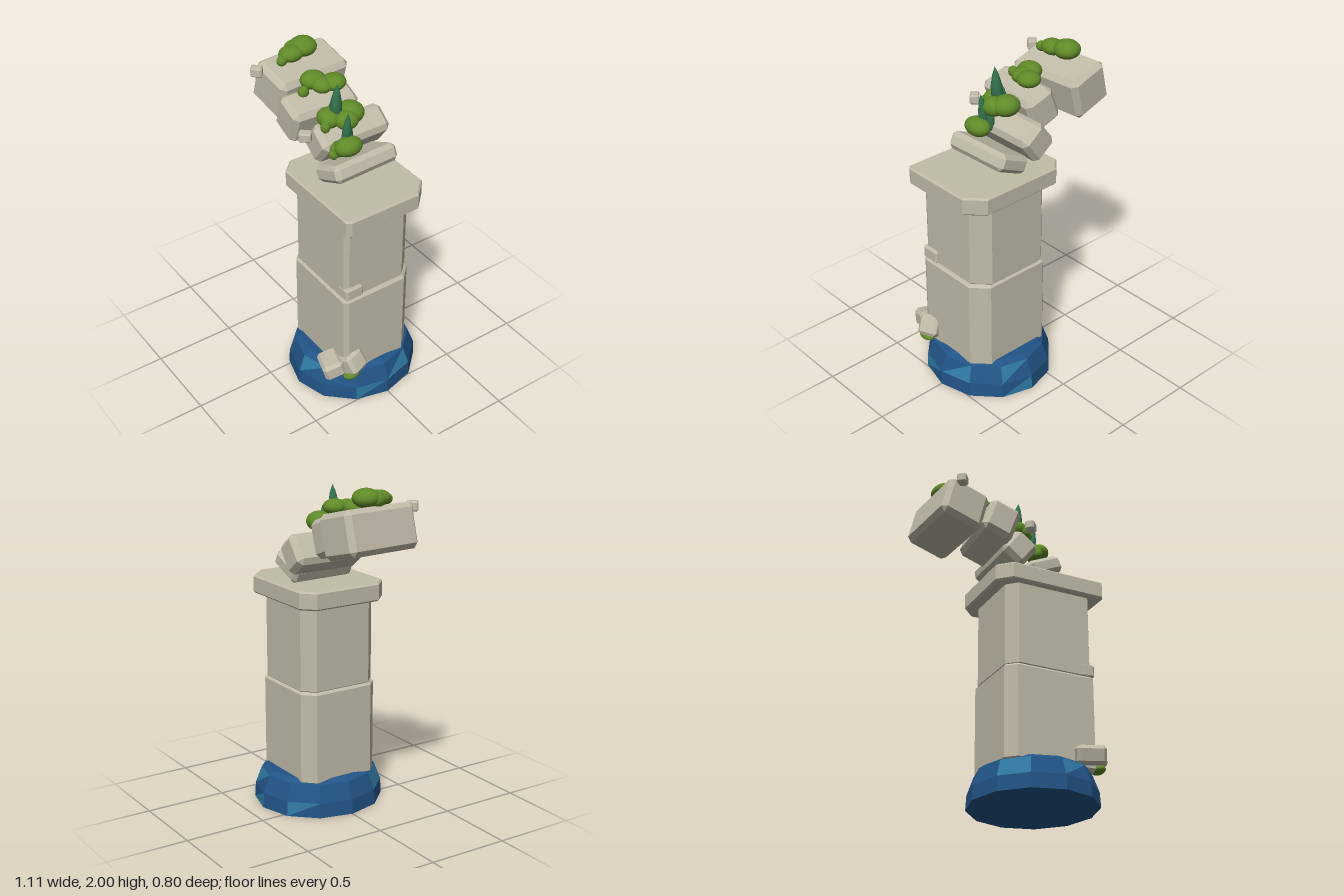
import * as THREE from 'three';
import { ConvexGeometry } from 'three/addons/geometries/ConvexGeometry.js';

const mat = (name, color, flatShading = false) => {
  const m = new THREE.MeshStandardMaterial({ color, flatShading });
  m.name = name;
  return m;
};

export function createModel() {
  const root = new THREE.Group();
  root.name = 'ruinedPillar';
  const stone = mat('stone', 0xc1bca9, true);
  const blue = mat('deepBlue', 0x225486, true);
  const lightBlue = mat('lightBlue', 0x2f7aa3, true);
  const moss = mat('mossGreen', 0x608a28);
  const leafGreen = mat('leafGreen', 0x33744f);

  const add = (name, geo, material, pos = [0, 0, 0], rot = [0, 0, 0], parent = root) => {
    const mesh = new THREE.Mesh(geo, material);
    mesh.name = name;
    mesh.position.set(...pos);
    mesh.rotation.set(...rot);
    parent.add(mesh);
    return mesh;
  };

  // Faceted base: twelve-sided rings with a few lighter facets
  const profile = [[0, 0], [0.398, 0], [0.392, 0.09], [0.352, 0.195], [0.315, 0.218], [0, 0.21]];
  const sides = 12, dark = [], light = [];
  const point = (i, [r, y]) => {
    const a = (i / sides) * Math.PI * 2;
    return [0.165 + Math.sin(a) * r * 0.955, y, Math.cos(a) * r];
  };
  for (let k = 0; k < profile.length - 1; k++) {
    for (let i = 0; i < sides; i++) {
      const a = point(i, profile[k]), b = point(i + 1, profile[k]);
      const c = point(i + 1, profile[k + 1]), d = point(i, profile[k + 1]);
      const onSide = k === 1 || k === 2;
      (onSide && (i * 5 + k * 3) % 7 === 0 ? light : dark).push(...a, ...b, ...c);
      (onSide && (i * 3 + k) % 5 === 2 ? light : dark).push(...a, ...c, ...d);
    }
  }
  const baseGeo = new THREE.BufferGeometry();
  baseGeo.setAttribute('position', new THREE.Float32BufferAttribute([...dark, ...light], 3));
  baseGeo.addGroup(0, dark.length / 3, 0);
  baseGeo.addGroup(dark.length / 3, light.length / 3, 1);
  baseGeo.computeVertexNormals();
  add('base', baseGeo, [blue, lightBlue]);

  // Upright block with a different cut at each corner:
  // cuts = [front left, back left, back right, front right], left being +x
  const block = (name, x0, x1, z0, z1, y0, y1, cuts, bevel) => {
    const [fl, bl, br, fr] = cuts;
    const outline = [
      [x1 - fl * 0.6, z1], [x1, z1 - fl], [x1, z0 + bl], [x1 - bl, z0],
      [x0 + br, z0], [x0, z0 + br], [x0, z1 - fr], [x0 + fr, z1],
    ];
    const shape = new THREE.Shape(outline.map(([x, z]) => new THREE.Vector2(x, -z)));
    const geo = new THREE.ExtrudeGeometry(shape, {
      depth: y1 - y0 - bevel * 2, bevelThickness: bevel, bevelSize: bevel,
      bevelOffset: -bevel, bevelSegments: 1,
    });
    geo.rotateX(-Math.PI / 2);
    geo.translate(0, y0 + bevel, 0);
    add(name, geo, stone);
  };
  block('lowerShaft', -0.115, 0.452, -0.255, 0.255, 0.19, 0.767, [0.03, 0.09, 0.07, 0.06], 0.014);
  block('upperShaft', -0.103, 0.435, -0.248, 0.246, 0.76, 1.31, [0.03, 0.09, 0.07, 0.06], 0.012);
  block('cap', -0.175, 0.515, -0.295, 0.287, 1.28, 1.39, [0.03, 0.1, 0.075, 0.08], 0.01);

  // Box with all edges chamfered
  const chamferBox = (w, h, d, c) => {
    const pts = [];
    for (const sx of [-1, 1]) for (const sy of [-1, 1]) for (const sz of [-1, 1]) {
      const x = w / 2, y = h / 2, z = d / 2;
      pts.push(
        new THREE.Vector3(sx * x, sy * (y - c), sz * (z - c)),
        new THREE.Vector3(sx * (x - c), sy * y, sz * (z - c)),
        new THREE.Vector3(sx * (x - c), sy * (y - c), sz * z));
    }
    return new ConvexGeometry(pts);
  };

  // Broken stones: name, size, chamfer, position, rotation
  const stones = [
    ['archStoneTop', [0.275, 0.26, 0.485], 0.03, [-0.39, 1.755, -0.018], [0, 0.08, -0.25]],
    ['archStoneUpper', [0.2, 0.225, 0.425], 0.03, [-0.135, 1.69, 0.04], [0, -0.05, -0.34]],
    ['archStoneMiddle', [0.175, 0.2, 0.455], 0.03, [0.018, 1.58, -0.06], [0, 0, -0.65]],
    ['archStoneLower', [0.23, 0.105, 0.43], 0.025, [0.168, 1.477, -0.02], [0, 0.04, 0.44]],
    ['chipTop', [0.055, 0.058, 0.068], 0.008, [-0.418, 1.875, 0.255], [0, -0.7, 0]],
    ['chipMiddle', [0.055, 0.058, 0.072], 0.008, [0.042, 1.68, 0.24], [0, -0.75, 0]],
    ['chipShaft', [0.09, 0.085, 0.12], 0.012, [0.408, 0.808, 0.188], [0, 0, 0]],
    ['rubbleFront', [0.17, 0.11, 0.13], 0.02, [0.375, 0.26, 0.3], [0.3, -0.3, 0.12]],
    ['rubbleSide', [0.12, 0.13, 0.13], 0.02, [0.448, 0.285, 0.2], [0.1, 0.3, 0.5]],
  ];
  for (const [name, size, c, pos, rot] of stones) add(name, chamferBox(...size, c), stone, pos, rot);

  // Moss clumps from overlapping squashed balls: [x, y, z, rx, ry, rz]
  const ball = new THREE.SphereGeometry(1, 24, 16);
  const clumps = {
    mossTop: [
      [-0.405, 1.945, -0.05, 0.08, 0.055, 0.08], [-0.385, 1.935, 0.045, 0.065, 0.045, 0.075],
      [-0.43, 1.935, -0.005, 0.055, 0.045, 0.06], [-0.365, 1.92, 0.12, 0.028, 0.03, 0.032],
    ],
    mossUpper: [
      [-0.105, 1.855, -0.055, 0.07, 0.045, 0.07], [-0.19, 1.855, 0.03, 0.07, 0.05, 0.075],
      [-0.13, 1.85, 0.015, 0.075, 0.045, 0.06], [-0.15, 1.825, 0.12, 0.028, 0.035, 0.034],
    ],
    mossMiddle: [
      [0.06, 1.745, -0.05, 0.083, 0.06, 0.078], [0.03, 1.735, 0.075, 0.075, 0.055, 0.065],
      [0.105, 1.735, 0.005, 0.065, 0.055, 0.07], [0.07, 1.71, 0.125, 0.028, 0.035, 0.028],
    ],
    mossLower: [
      [0.185, 1.62, 0.05, 0.064, 0.055, 0.085], [0.145, 1.595, 0.085, 0.05, 0.045, 0.055],
      [0.15, 1.575, 0.125, 0.028, 0.03, 0.028],
    ],
    mossBase: [[0.47, 0.21, 0.22, 0.038, 0.025, 0.055]],
  };
  for (const [name, balls] of Object.entries(clumps)) {
    const clump = new THREE.Group();
    clump.name = name;
    root.add(clump);
    for (const [x, y, z, rx, ry, rz] of balls) {
      add('mossBall', ball, moss, [x, y, z], [0, 0, 0], clump).scale.set(rx, ry, rz);
    }
  }

  // Pointed leaves: position of the foot, height, radius, lean
  const leafGeo = new THREE.LatheGeometry(
    [[0, 0], [0.6, 0.12], [1, 0.35], [0.9, 0.58], [0.5, 0.83], [0, 1]].map((p) => new THREE.Vector2(...p)), 14);
  const leaves = [
    ['leafTall', [0.035, 1.67, 0.04], 0.285, 0.036, -0.1],
    ['leafTallSide', [0.01, 1.68, 0.04], 0.14, 0.025, 0.03],
    ['leafLow', [0.14, 1.58, 0.04], 0.24, 0.027, -0.12],
    ['leafLowSide', [0.125, 1.58, 0.005], 0.18, 0.022, -0.02],
    ['leafBase', [0.408, 0.28, 0.215], 0.105, 0.022, -0.08],
    ['leafBaseSide', [0.4, 0.27, 0.24], 0.085, 0.016, 0.25],
  ];
  for (const [name, pos, h, r, lean] of leaves) {
    add(name, leafGeo, leafGreen, pos, [0, 0, lean]).scale.set(r, h, r);
  }
  return root;
}
